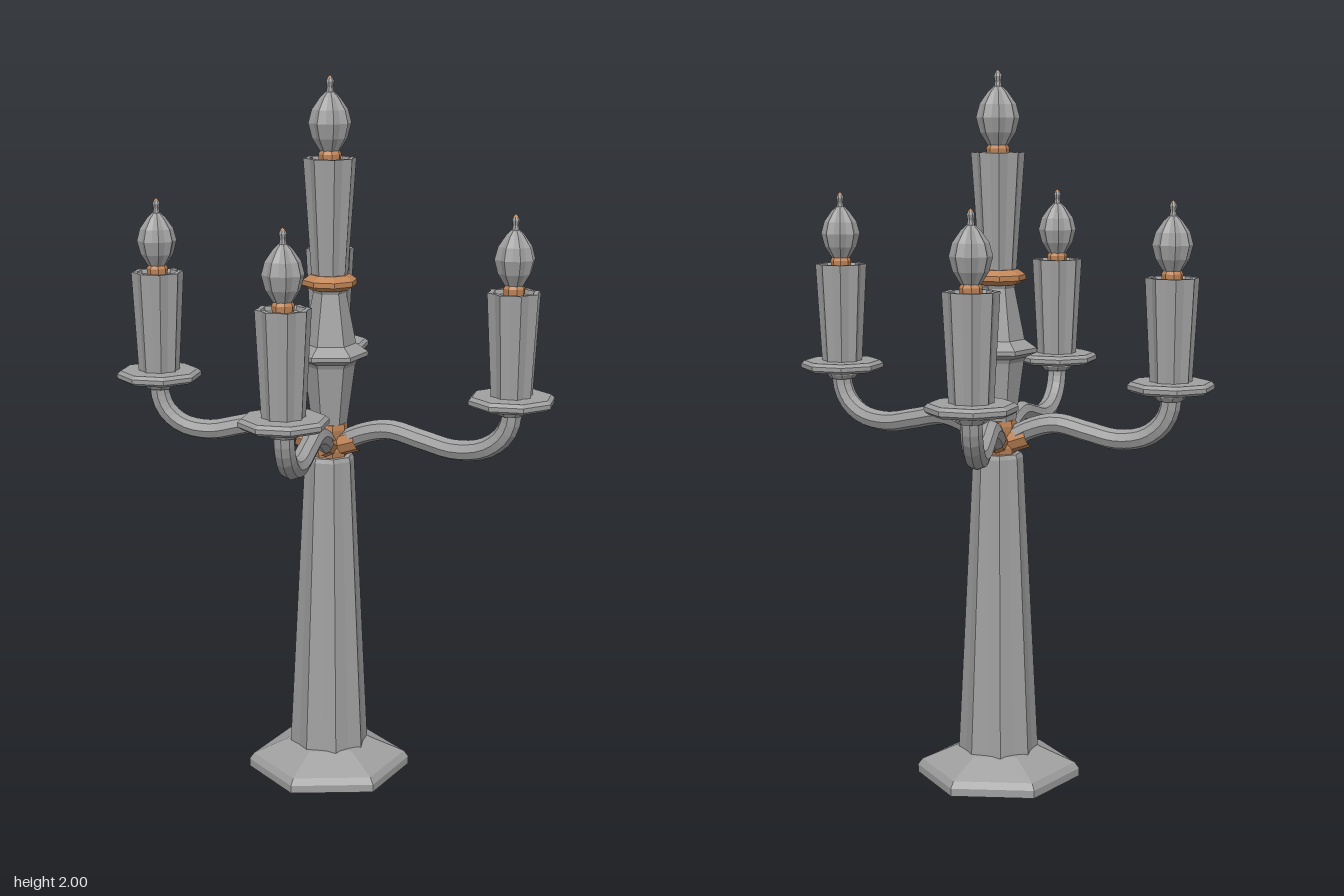
import * as THREE from 'three';

const metal = new THREE.MeshStandardMaterial({ color: 0xa0a0a0 });
metal.name = 'grey metal';
const copper = new THREE.MeshStandardMaterial({ color: 0xc28658 });
copper.name = 'copper';

// Faceted normals for the low-poly look
function faceted(geometry) {
  const g = geometry.index ? geometry.toNonIndexed() : geometry;
  g.computeVertexNormals();
  return g;
}

function addMesh(parent, name, geometry, material) {
  const mesh = new THREE.Mesh(faceted(geometry), material);
  mesh.name = name;
  parent.add(mesh);
  return mesh;
}

// Turned part with a polygonal section; profile is [radius, y] from bottom to top
function turned(profile, sides, turn = 0) {
  return new THREE.LatheGeometry(profile.map(([r, y]) => new THREE.Vector2(r, y)), sides, turn);
}

// Eight-ridged part: every second vertex column is pulled inward to make a groove
function fluted(profile, depth) {
  const g = turned(profile, 16);
  const p = g.attributes.position;
  for (let i = 0; i < p.count; i++) {
    const column = Math.floor(i / profile.length);
    if (column % 2 === 0) p.setXYZ(i, p.getX(i) * depth, p.getY(i), p.getZ(i) * depth);
  }
  return g;
}

const EIGHTH = Math.PI / 8;

// Lobed flame bulb with its copper collar and wick tip; origin at the candle top
function flame(scale) {
  const group = new THREE.Group();
  group.name = 'flame';
  addMesh(group, 'flameCollar', turned([[0, -0.012], [0.028, -0.012], [0.03, 0.01], [0.024, 0.02], [0, 0.02]], 8, EIGHTH), copper);
  addMesh(group, 'flameBulb', fluted([[0, 0.014], [0.026, 0.018], [0.046, 0.05], [0.056, 0.088],
    [0.047, 0.122], [0.026, 0.152], [0.011, 0.166]], 0.85), metal);
  addMesh(group, 'flameTip', turned([[0.011, 0.164], [0.008, 0.178], [0.011, 0.192], [0.007, 0.201]], 8), metal);
  addMesh(group, 'wickTip', turned([[0.007, 0.201], [0, 0.208]], 8), copper);
  group.scale.setScalar(scale);
  return group;
}

// Fluted candle with a shallow recess in its top
function candle(parent, bottom, top, rBottom, rTop) {
  addMesh(parent, 'candle', fluted([[0, bottom], [rBottom, bottom], [rTop, top],
    [rTop * 0.8, top], [rTop * 0.75, top - 0.012], [0, top - 0.012]], 0.86), metal);
}

// One curved arm reaching from the hub to (dx, dz), with cup, candle and flame
function arm(dx, dz) {
  const group = new THREE.Group();
  group.name = 'candleArm';
  const path = [[0.05, 0.975], [0.18, 1.012], [0.34, 1.033], [0.52, 1.015], [0.7, 0.997],
    [0.86, 1.01], [0.96, 1.05], [1, 1.1], [1, 1.14]];
  const curve = new THREE.CatmullRomCurve3(path.map(([f, y]) => new THREE.Vector3(dx * f, y, dz * f)));
  addMesh(group, 'armTube', new THREE.TubeGeometry(curve, 24, 0.029, 8), metal);

  // Copper socket at the root of the arm
  const reach = 0.088 / Math.hypot(dx, dz);
  const root = new THREE.LineCurve3(new THREE.Vector3(0, 0.965, 0), new THREE.Vector3(dx * reach, 0.995, dz * reach));
  addMesh(group, 'armSocket', new THREE.TubeGeometry(root, 1, 0.033, 8), copper).material = copper;

  const holder = new THREE.Group();
  holder.name = 'candleHolder';
  holder.position.set(dx, 0, dz);
  addMesh(holder, 'cupCollar', turned([[0, 1.112], [0.036, 1.112], [0.045, 1.125], [0.045, 1.138]], 8, EIGHTH), metal);
  addMesh(holder, 'dripPlate', turned([[0, 1.136], [0.108, 1.136], [0.12, 1.144], [0.12, 1.156],
    [0.11, 1.165], [0, 1.165]], 8, EIGHTH), metal);
  candle(holder, 1.16, 1.447, 0.058, 0.074);
  const fire = flame(1);
  fire.position.y = 1.447;
  holder.add(fire);
  group.add(holder);
  return group;
}

export function createModel() {
  const model = new THREE.Group();
  model.name = 'candelabrum';
  const body = new THREE.Group();
  body.name = 'body';
  body.position.x = 0.032;
  model.add(body);

  // Six-sided foot and tall fluted column
  addMesh(body, 'foot', turned([[0, 0], [0.233, 0], [0.233, 0.022], [0.22, 0.04], [0.12, 0.085], [0, 0.09]], 6), metal);
  addMesh(body, 'column', fluted([[0.113, 0.06], [0.113, 0.09], [0.071, 0.93], [0.066, 0.942], [0, 0.942]], 0.9), metal);

  // Copper hub where the arms meet
  addMesh(body, 'hub', turned([[0, 0.938], [0.05, 0.938], [0.054, 0.96], [0.047, 0.99], [0.052, 1.02],
    [0.05, 1.036], [0, 1.036]], 8, EIGHTH), copper);

  // Six-sided vase with its flange
  addMesh(body, 'vase', turned([[0, 1.034], [0.05, 1.034], [0.072, 1.2], [0.078, 1.212], [0.108, 1.226],
    [0.108, 1.238], [0.074, 1.262], [0.046, 1.405], [0.052, 1.42], [0, 1.42]], 6), metal);

  // Copper ring, centre candle and flame
  addMesh(body, 'copperRing', turned([[0, 1.415], [0.055, 1.415], [0.077, 1.428], [0.077, 1.442],
    [0.055, 1.457], [0, 1.457]], 8, EIGHTH), copper);
  candle(body, 1.45, 1.777, 0.051, 0.074);
  const fire = flame(1.072);
  fire.position.y = 1.777;
  body.add(fire);

  // Two arm pairs mirrored front to back
  for (const side of [1, -1]) {
    body.add(arm(0.29, 0.457 * side));
    body.add(arm(-0.357, 0.343 * side));
  }
  return model;
}
